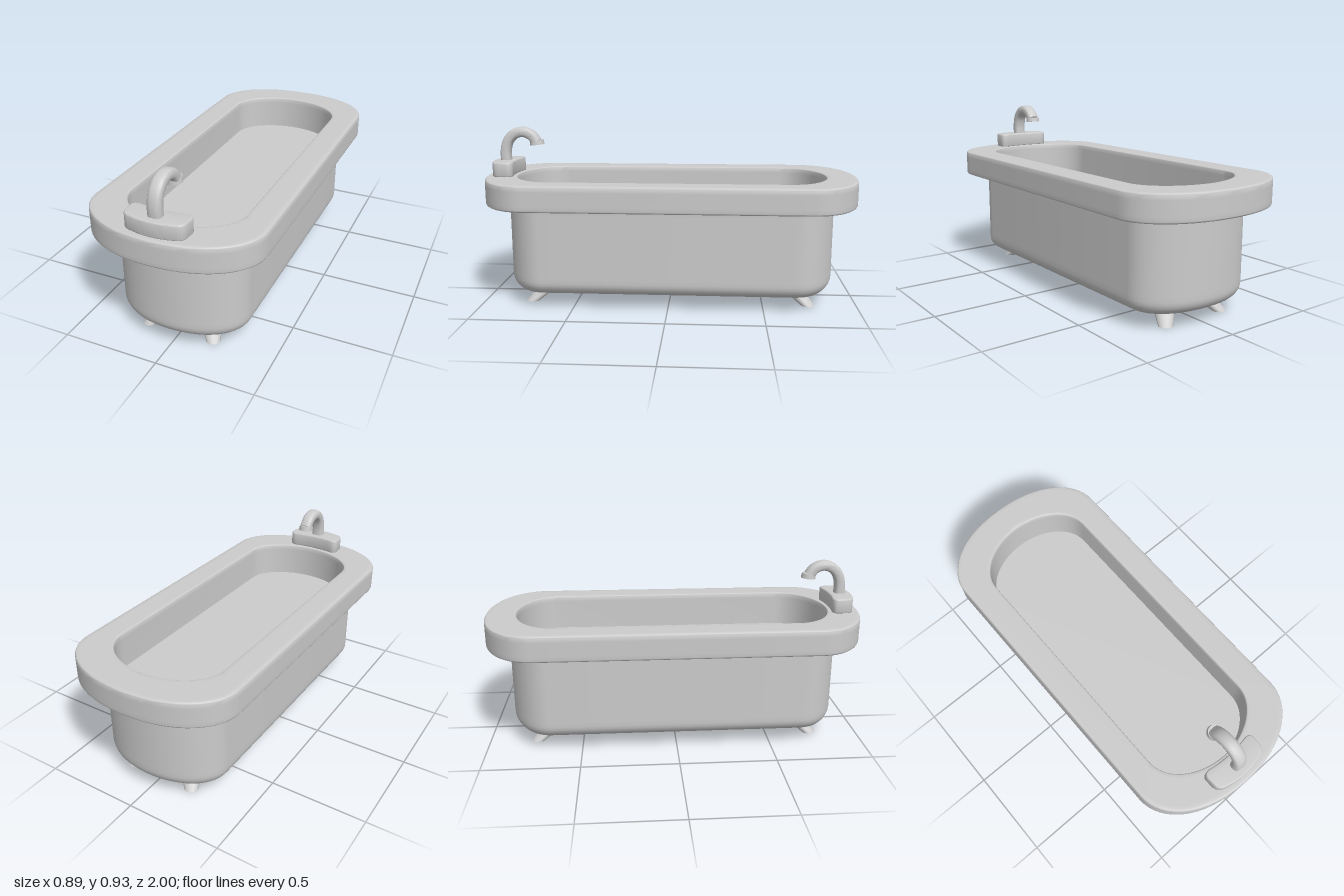
import * as THREE from 'three';
import { toCreasedNormals } from 'three/addons/utils/BufferGeometryUtils.js';

// Plan outlines: half width, end of straight side, the two curve handles, end of tub
const BODY = [0.34, 0.66, 0.77, 0.2, 0.88];
const RIM = [0.445, 0.72, 0.845, 0.308, 1.0];
const BASIN = [0.302, 0.62, 0.75, 0.15, 0.838];
const POINT = [0, 0, 0, 0, 0];

// Closed outline with straight sides and bowed ends, inset by d
function outline([w, zs, c, b, end], d) {
  const q = new THREE.CubicBezierCurve(
    new THREE.Vector2(w - d, zs), new THREE.Vector2(w - d, c - d * 0.5),
    new THREE.Vector2(b, end - d), new THREE.Vector2(0, end - d)
  ).getPoints(14);
  const back = q.slice(0, -1).reverse();
  const flip = (list, sx, sz) => list.map((p) => [p.x * sx, p.y * sz]);
  return [...flip(q, 1, 1), ...flip(back, -1, 1), ...flip(q, -1, -1), ...flip(back, 1, -1)];
}

// Skin through a list of [plan, inset, height] rings
function loft(rings) {
  const pos = [], index = [];
  let n = 0;
  for (const [plan, d, y] of rings) {
    const pts = outline(plan, d);
    n = pts.length;
    for (const [x, z] of pts) pos.push(x, y, z);
  }
  for (let i = 0; i < rings.length - 1; i++) {
    for (let j = 0; j < n; j++) {
      const a = i * n + j, b = i * n + (j + 1) % n;
      index.push(a, a + n, b, b, a + n, b + n);
    }
  }
  const g = new THREE.BufferGeometry();
  g.setAttribute('position', new THREE.Float32BufferAttribute(pos, 3));
  g.setIndex(index);
  return toCreasedNormals(g, 0.6);
}

// Quarter-round rings from inset d0, height y0; 'flat' starts along the horizontal
function round(plan, d0, y0, d1, y1, flat, steps = 4) {
  const out = [];
  for (let i = 0; i <= steps; i++) {
    const t = (i / steps) * Math.PI / 2;
    const s = Math.sin(t), c = 1 - Math.cos(t);
    out.push([plan, d0 + (d1 - d0) * (flat ? s : c), y0 + (y1 - y0) * (flat ? c : s)]);
  }
  return out;
}

export function createModel() {
  const group = new THREE.Group();
  const mat = new THREE.MeshStandardMaterial({ color: 0xcccccc });
  const add = (name, geometry, parent = group) => {
    const mesh = new THREE.Mesh(geometry, mat);
    mesh.name = name;
    parent.add(mesh);
    return mesh;
  };

  // Tub: rounded underside, wall, overhanging rim and basin in one skin
  add('tub', loft([
    [POINT, 0, 0.066],
    [BODY, 0.18, 0.066],
    ...round(BODY, 0.085, 0.072, 0, 0.145, true, 7),
    [BODY, 0, 0.17],
    [BODY, 0, 0.505],
    ...round(BODY, 0, 0.525, -0.013, 0.54, false),
    [RIM, 0.03, 0.54],
    ...round(RIM, 0.01, 0.54, 0, 0.55, true),
    [RIM, 0, 0.57],
    [RIM, 0, 0.643],
    ...round(RIM, 0, 0.662, 0.012, 0.674, false),
    [RIM, 0.03, 0.674],
    [BASIN, -0.025, 0.674],
    ...round(BASIN, -0.008, 0.674, 0, 0.666, true),
    [BASIN, 0, 0.645],
    [BASIN, 0.003, 0.487],
    [POINT, 0, 0.487],
  ]));

  // Feet: tapered pegs leaning outwards
  for (const sx of [-1, 1]) {
    for (const sz of [-1, 1]) {
      const g = new THREE.CylinderGeometry(0.058, 0.036, 0.08, 16);
      const p = g.attributes.position;
      for (let i = 0; i < p.count; i++) {
        const up = p.getY(i) + 0.04;
        p.setXYZ(i, p.getX(i) + sx * (0.175 - 0.7 * up), up, p.getZ(i) + sz * (0.743 - 1.05 * up));
      }
      g.computeVertexNormals();
      add(`${sz > 0 ? 'front' : 'back'}${sx > 0 ? 'Left' : 'Right'}Foot`, toCreasedNormals(g, 0.7));
    }
  }

  const faucet = new THREE.Group();
  faucet.name = 'faucet';
  group.add(faucet);

  // Faucet base: block with rounded corners, bowed along the tub end
  const s = new THREE.Shape();
  s.moveTo(-0.12, 0.85);
  s.quadraticCurveTo(0, 0.872, 0.12, 0.85);
  s.quadraticCurveTo(0.148, 0.848, 0.148, 0.872);
  s.lineTo(0.146, 0.915);
  s.quadraticCurveTo(0.143, 0.943, 0.11, 0.95);
  s.quadraticCurveTo(0, 0.982, -0.11, 0.95);
  s.quadraticCurveTo(-0.143, 0.943, -0.146, 0.915);
  s.lineTo(-0.148, 0.872);
  s.quadraticCurveTo(-0.148, 0.848, -0.12, 0.85);
  const base = new THREE.ExtrudeGeometry(s, {
    depth: 0.064, bevelThickness: 0.007, bevelSize: 0.007, bevelSegments: 3, curveSegments: 10,
  });
  base.rotateX(Math.PI / 2);
  base.translate(0, 0.743, 0);
  add('faucetBase', toCreasedNormals(base, 0.6), faucet);

  // Spout: goose neck of softly squared section, with a collar at its mouth
  const path = new THREE.CatmullRomCurve3([
    [0.912, 0.74], [0.912, 0.8], [0.897, 0.853], [0.862, 0.89], [0.815, 0.902], [0.77, 0.886], [0.738, 0.848],
  ].map(([z, y]) => new THREE.Vector3(0, y, z)));
  const soft = (v) => Math.sign(v) * Math.abs(v) ** 0.7;
  const section = new THREE.Shape(Array.from({ length: 24 }, (_, i) => {
    const t = (i / 24) * Math.PI * 2;
    return new THREE.Vector2(0.034 * soft(Math.cos(t)), 0.028 * soft(Math.sin(t)));
  }));
  const neck = new THREE.ExtrudeGeometry(section, { steps: 32, extrudePath: path });
  add('spout', toCreasedNormals(neck, 0.8), faucet);
  const collar = add('spoutCollar', new THREE.CylinderGeometry(0.037, 0.04, 0.026, 20), faucet);
  collar.position.set(0, 0.846, 0.738);
  collar.rotation.x = 0.1;

  return group;
}
